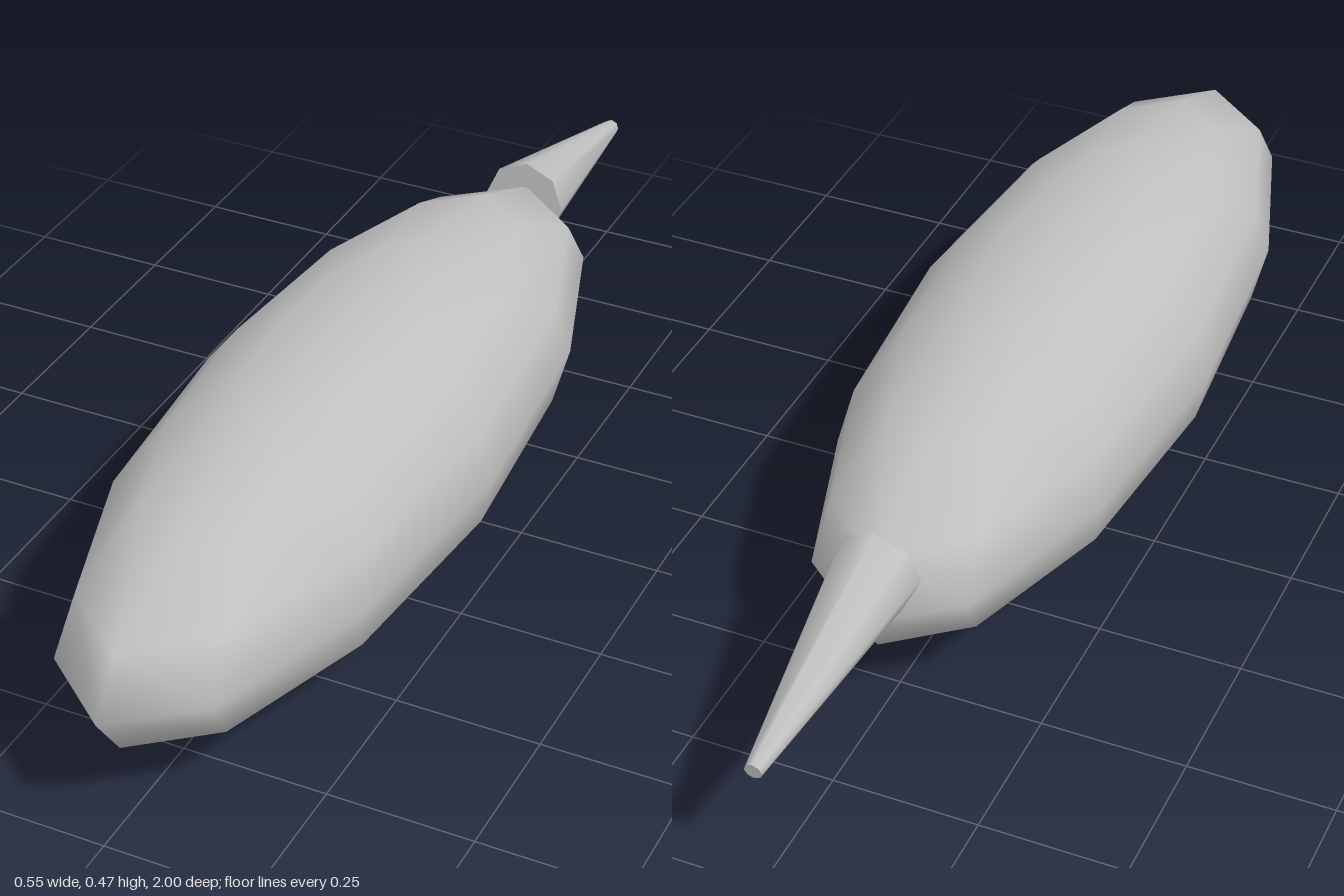
import * as THREE from 'three';

export function createModel() {
  const group = new THREE.Group();
  const grey = new THREE.MeshStandardMaterial({ color: 0xc0c0c0 });
  grey.name = 'light grey';

  // Long ellipsoid body
  const bodyShape = new THREE.SphereGeometry(1, 12, 8);
  bodyShape.scale(0.273, 0.234, 0.82);
  const body = new THREE.Mesh(bodyShape, grey);
  body.name = 'body';
  body.position.set(0, 0.236, 0.18);
  group.add(body);

  // Tapered tail, running from the rear of the body back and slightly down
  const base = new THREE.Vector3(0, 0.299, -0.567);
  const tip = new THREE.Vector3(0, 0.24, -0.998);
  const axis = tip.clone().sub(base);
  const tail = new THREE.Mesh(
    new THREE.CylinderGeometry(0.015, 0.075, axis.length(), 8), grey);
  tail.name = 'tail';
  tail.position.copy(base).lerp(tip, 0.5);
  tail.quaternion.setFromUnitVectors(new THREE.Vector3(0, 1, 0), axis.normalize());
  group.add(tail);

  return group;
}
